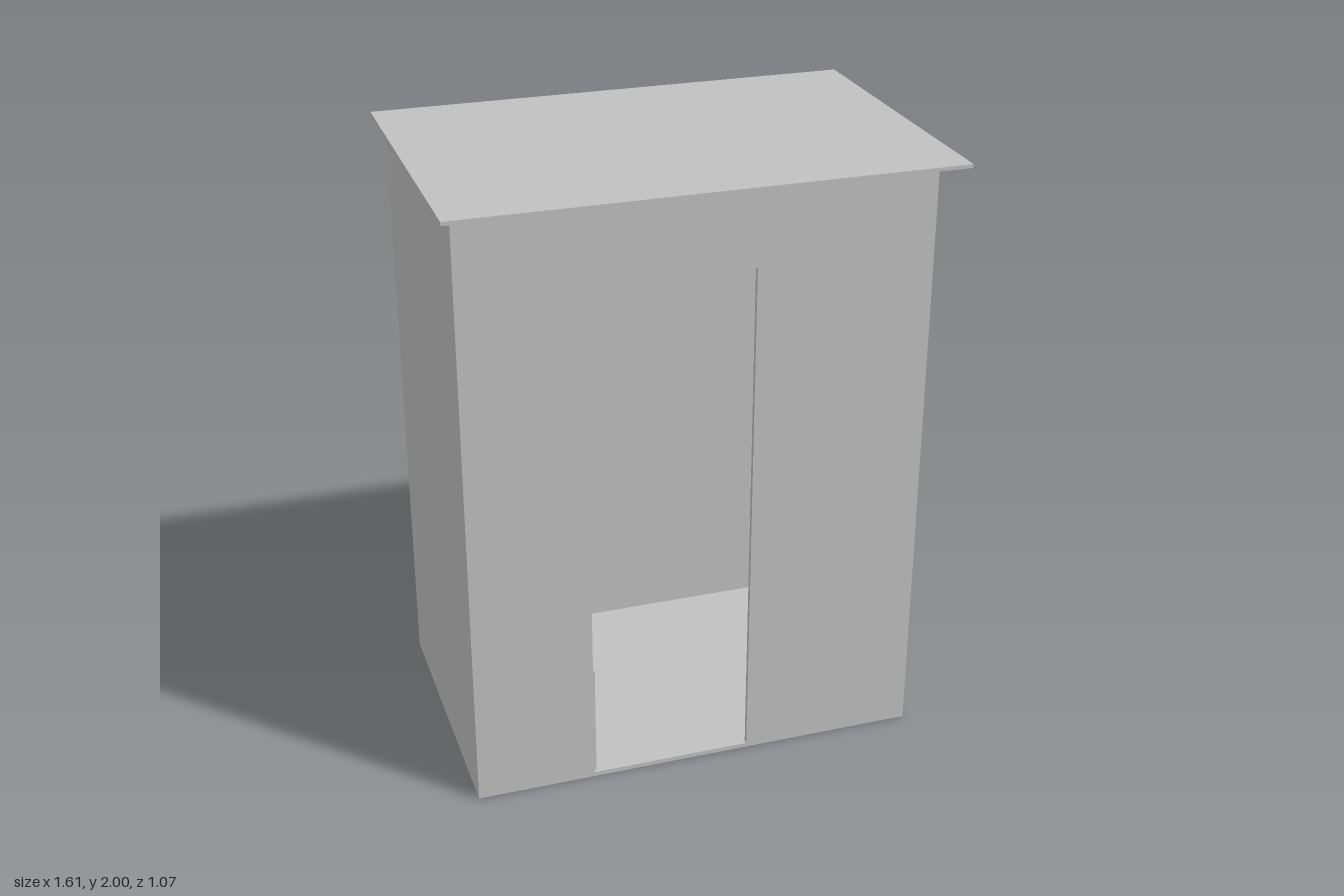
import * as THREE from 'three';

const grey = new THREE.MeshStandardMaterial({ color: 0xc0c0c0 });
grey.name = 'plainGrey';

// Body limits and wall thickness
const X0 = -0.77, X1 = 0.725, Z = 0.48, TOP = 1.988, T = 0.015;

export function createModel() {
  const group = new THREE.Group();
  group.name = 'booth';

  const add = (name, geometry) => {
    const mesh = new THREE.Mesh(geometry, grey);
    mesh.name = name;
    group.add(mesh);
    return mesh;
  };

  // Box given by its lower and upper corners
  const box = (name, x0, x1, y0, y1, z0, z1) => {
    const g = new THREE.BoxGeometry(x1 - x0, y1 - y0, z1 - z0);
    g.translate((x0 + x1) / 2, (y0 + y1) / 2, (z0 + z1) / 2);
    return add(name, g);
  };

  const rect = (Type, x0, x1, y0, y1) => new Type([
    [x0, y0], [x1, y0], [x1, y1], [x0, y1],
  ].map(([x, y]) => new THREE.Vector2(x, y)));

  // Wall panel with one rectangular opening, extruded along +z
  const wall = (outer, hole) => {
    const shape = rect(THREE.Shape, ...outer);
    shape.holes.push(rect(THREE.Path, ...hole));
    return new THREE.ExtrudeGeometry(shape, { depth: T, bevelEnabled: false });
  };

  // Shell: front wall with doorway, side wall with hatch opening, plain walls
  add('frontWall', wall([X0, X1, 0, TOP], [-0.38, 0.15, T, 1.727])).position.z = Z - T;
  const hatchWall = add('hatchWall', wall([-Z + T, Z - T, 0, TOP], [-0.27, 0.27, 0.117, 1.23]));
  hatchWall.rotation.y = Math.PI / 2;
  hatchWall.position.x = X1 - T;
  box('backWall', X0, X1, 0, TOP, -Z, -Z + T);
  box('plainSideWall', X0, X0 + T, 0, TOP, -Z + T, Z - T);
  box('floor', X0 + T, X1 - T, 0, T, -Z + T, Z - T);

  // Hatch panel set back in its opening, with a narrow slit below
  box('hatchPanel', X1 - T, X1 - 0.011, 0.123, 1.23, -0.27, 0.27);

  // Overhanging roof sheet
  box('roof', -0.806, 0.806, TOP, 2, -0.537, 0.537);

  // Bench along the plain side: thin front panel and raised seat slab
  box('benchFront', -0.385, -0.37, T, 0.4, -Z + T, Z - T);
  box('benchSeat', X0 + T, -0.433, 0.4, 0.435, -Z + T, Z - T);
  box('benchBase', X0 + T, -0.445, T, 0.4, -Z + T, Z - T);

  return group;
}
